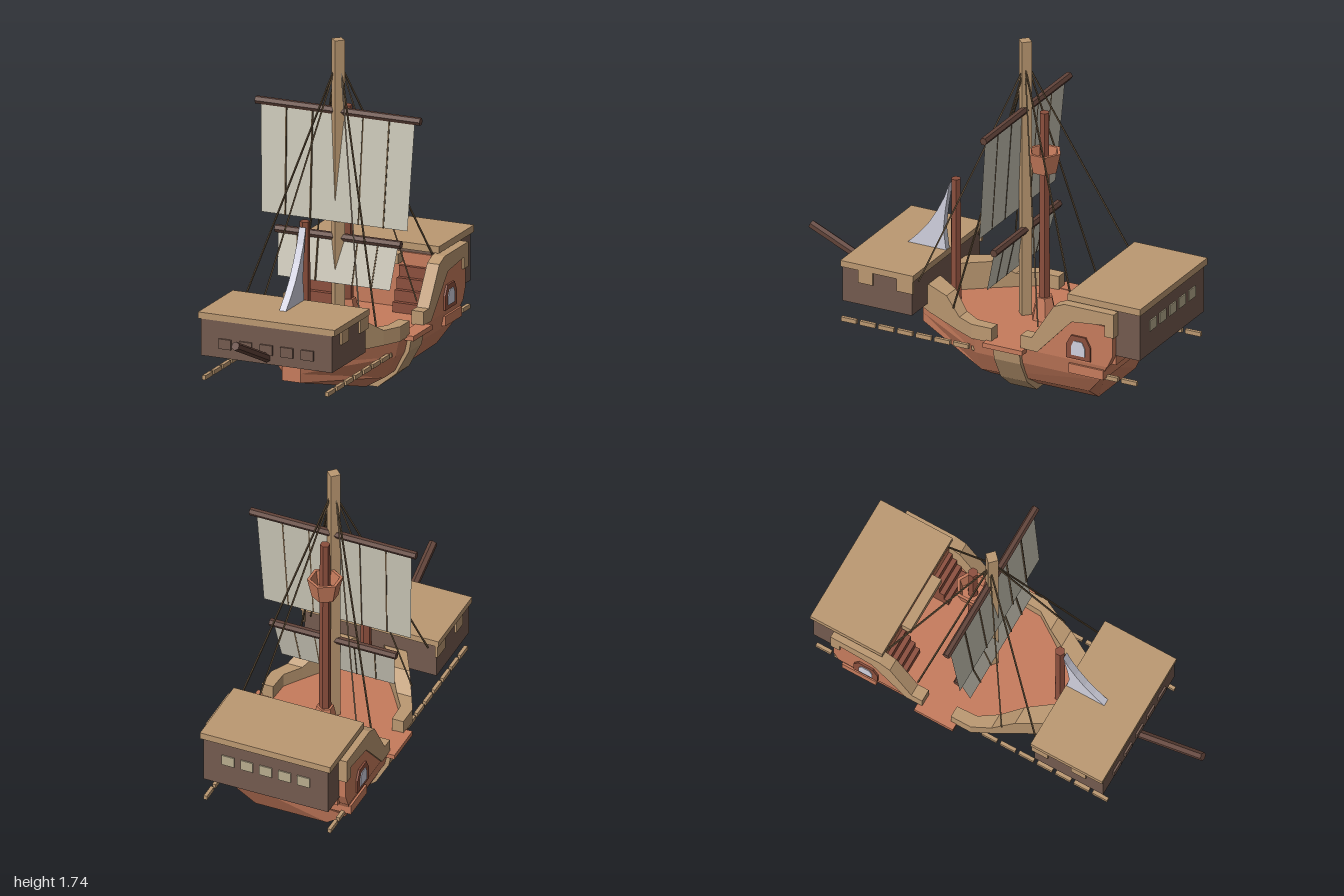
import * as THREE from 'three';

const mat = (name, color) => new THREE.MeshStandardMaterial({ name, color, flatShading: true });

export function createModel() {
  const ship = new THREE.Group();
  ship.name = 'sailingShip';
  const M = {
    hull: mat('salmon wood', 0xc67b5c),
    red: mat('red brown wood', 0x8c4f3d),
    tan: mat('tan wood', 0xbb9871),
    cabin: mat('cabin brown', 0x735a4e),
    dark: mat('dark spar wood', 0x614339),
    sail: mat('canvas', 0xcbc7b8),
    rope: mat('rope', 0x65523b),
    pale: mat('pale cloth and glass', 0xd0d0de),
    pane: mat('stern pane', 0xb8ac8e),
  };
  M.sail.side = THREE.DoubleSide;

  const add = (name, geo, m) => {
    const mesh = new THREE.Mesh(geo, m);
    mesh.name = name;
    ship.add(mesh);
    return mesh;
  };
  // box from minimum and maximum on each axis
  const box = (name, m, x0, x1, y0, y1, z0, z1) =>
    add(name, new THREE.BoxGeometry(x1 - x0, y1 - y0, z1 - z0), m)
      .position.set((x0 + x1) / 2, (y0 + y1) / 2, (z0 + z1) / 2);
  // [z, y] outline extruded across x
  const sideExtrude = (name, m, pts, x0, x1) => {
    const shape = new THREE.Shape(pts.map(p => new THREE.Vector2(...p)));
    const g = new THREE.ExtrudeGeometry(shape, { depth: x1 - x0, bevelEnabled: false });
    add(name, g.rotateY(-Math.PI / 2).translate(x1, 0, 0), m);
  };
  // same, on both sides of the ship
  const sidePair = (name, m, pts, x0, x1) => {
    sideExtrude(name + 'Left', m, pts, x0, x1);
    sideExtrude(name + 'Right', m, pts, -x1, -x0);
  };
  // closed skin through sections, listed front to back, clockwise seen from the front
  const loft = sections => {
    const n = sections[0].length, idx = [], last = (sections.length - 1) * n;
    for (let i = 0; i < sections.length - 1; i++)
      for (let j = 0; j < n; j++) {
        const a = i * n + j, b = i * n + (j + 1) % n;
        idx.push(a, b, a + n, b, b + n, a + n);
      }
    for (let j = 1; j < n - 1; j++) idx.push(0, j + 1, j, last, last + j, last + j + 1);
    const g = new THREE.BufferGeometry();
    g.setAttribute('position', new THREE.Float32BufferAttribute(sections.flat(2), 3));
    g.setIndex(idx);
    g.computeVertexNormals();
    return g;
  };
  const mirrorX = pts => pts.map(([x, y, z]) => [-x, y, z]).reverse();
  // straight round bar between two points
  const bar = (name, m, a, b, r, sides = 6) => {
    const p = new THREE.Vector3(...a), q = new THREE.Vector3(...b), d = q.clone().sub(p);
    const mesh = add(name, new THREE.CylinderGeometry(r, r, d.length(), sides), m);
    mesh.position.copy(p).add(q).multiplyScalar(0.5);
    mesh.quaternion.setFromUnitVectors(new THREE.Vector3(0, 1, 0), d.normalize());
  };

  // hull with deck
  const halves = [
    [[0.05, 0.29, 0.35], [0.05, 0.25, 0.35], [0.05, 0.2, 0.35], [0.05, 0.155, 0.35]],
    [[0.365, 0.29, -0.1], [0.345, 0.2, -0.1], [0.29, 0.09, -0.1], [0.19, 0.03, -0.1]],
    [[0.365, 0.29, -0.83], [0.345, 0.2, -0.78], [0.29, 0.1, -0.69], [0.19, 0.03, -0.69]],
  ];
  add('hull', loft(halves.map(h => [...h, ...mirrorX(h)])), M.hull);

  // band round the hull
  const band = [[0.38, 0.27], [0.367, 0.2], [0.3, 0.08], [0.2, 0]];
  const bandShape = new THREE.Shape(
    [...band, ...band.map(([x, y]) => [-x, y]).reverse()].map(p => new THREE.Vector2(...p)));
  add('hullBand', new THREE.ExtrudeGeometry(bandShape, { depth: 0.145, bevelEnabled: false })
    .translate(0, 0, -0.355), M.tan);

  // bow rails: outer x, inner x, z, top y
  const bowRail = [
    [0.1, 0.0, 0.38, 0.36], [0.2, 0.08, 0.235, 0.43], [0.275, 0.18, 0.1, 0.43],
    [0.33, 0.25, 0, 0.36], [0.375, 0.31, -0.09, 0.36], [0.375, 0.315, -0.2, 0.36],
  ].map(([o, i, z, t]) => [[o, t, z], [o, 0.285, z], [i, 0.285, z], [i, t, z]]);
  add('bowRailLeft', loft(bowRail), M.tan);
  add('bowRailRight', loft(bowRail.map(mirrorX)), M.tan);

  // stern sides, bulkhead, rails and ledges
  sidePair('sternSide', M.hull, [[-0.44, 0.285], [-0.6, 0.46], [-0.64, 0.5], [-0.86, 0.5],
    [-0.86, 0.35], [-0.83, 0.285]], 0.315, 0.365);
  box('sternBulkhead', M.hull, -0.32, 0.32, 0.285, 0.57, -0.855, -0.6);
  sidePair('sternRail', M.tan, [[-0.36, 0.29], [-0.36, 0.36], [-0.42, 0.36], [-0.54, 0.55],
    [-0.6, 0.575], [-0.87, 0.575], [-0.87, 0.45], [-0.82, 0.45], [-0.82, 0.51], [-0.64, 0.49],
    [-0.6, 0.45], [-0.45, 0.29]], 0.31, 0.375);
  box('sternLedge', M.hull, -0.37, 0.37, 0.215, 0.265, -0.81, -0.62);
  for (const s of [-1, 1])
    box('sideLedge', M.hull, s > 0 ? 0.33 : -0.41, s > 0 ? 0.41 : -0.33, 0.268, 0.293, -0.385, -0.17);

  // arched side windows
  const arch = (w, y0, h) => [[-w, y0], [w, y0], [w, y0 + h * 0.6], [w * 0.6, y0 + h], [-w * 0.6, y0 + h],
    [-w, y0 + h * 0.6]].map(([z, y]) => [z - 0.675, y]);
  sidePair('windowFrame', M.red, arch(0.066, 0.297, 0.122), 0.35, 0.375);
  sidePair('windowPane', M.pale, arch(0.037, 0.318, 0.075), 0.37, 0.379);

  // stern cabin
  box('sternCabin', M.cabin, -0.33, 0.33, 0.34, 0.59, -0.99, -0.85);
  box('sternCabinUpper', M.cabin, -0.31, 0.31, 0.5, 0.59, -0.86, -0.61);
  box('sternRoof', M.tan, -0.345, 0.345, 0.585, 0.62, -1, -0.6);

  // bow cabin
  box('bowCabin', M.cabin, -0.35, 0.35, 0.322, 0.515, 0.25, 0.632);
  box('bowRoof', M.tan, -0.365, 0.365, 0.508, 0.54, 0.237, 0.635);
  sidePair('bowRoofTrim', M.tan, [[0.24, 0.44], [0.24, 0.51], [0.54, 0.51], [0.54, 0.44], [0.46, 0.44],
    [0.46, 0.505], [0.33, 0.505], [0.33, 0.44]], 0.345, 0.36);

  // rows of windows on the cabin ends
  for (let i = -2; i <= 2; i++) {
    box('bowWindow', M.cabin, i * 0.11 - 0.033, i * 0.11 + 0.033, 0.37, 0.42, 0.63, 0.642);
    box('sternWindow', M.pane, i * 0.1 - 0.033, i * 0.1 + 0.033, 0.46, 0.515, -0.996, -0.988);
  }

  // stairs and door canopy
  for (const s of [-1, 1])
    for (let i = 0; i < 4; i++)
      box('stair', M.red, s * 0.225 - 0.085, s * 0.225 + 0.085, 0.285, 0.34 + i * 0.055, -0.61, -0.505 - i * 0.025);
  box('doorCanopy', M.tan, -0.15, 0.15, 0.52, 0.57, -0.61, -0.55);

  // bowsprit
  bar('bowsprit', M.dark, [0, 0.34, 0.6], [0, 0.512, 0.99], 0.022);

  // main mast: square, set corner forward
  add('mainMast', new THREE.CylinderGeometry(0.036, 0.036, 1.455, 4), M.tan).position.set(0, 1.0125, -0.185);

  // yards with tilted sails and their seams: half length, yard y, half widths, foot y, foot z
  for (const [name, len, y, w0, w1, foot, footZ] of [
    ['main', 0.44, 1.377, 0.41, 0.39, 0.83, -0.142], ['lower', 0.335, 0.74, 0.32, 0.3, 0.52, -0.135]]) {
    bar(name + 'Yard', M.dark, [-len, y, -0.19], [len, y, -0.19], 0.02);
    const g = new THREE.PlaneGeometry(2, 1), p = g.attributes.position, top = y - 0.01;
    for (let i = 0; i < p.count; i++) {
      const up = p.getY(i) > 0;
      p.setXYZ(i, p.getX(i) * (up ? w0 : w1), up ? top : foot, up ? -0.184 : footZ);
    }
    add(name + 'Sail', g, M.sail);
    for (const k of [-0.67, -0.33, 0.33, 0.67])
      bar(name + 'SailSeam', M.rope, [k * w0, top, -0.182], [k * w1, foot, footZ + 0.002], 0.005, 4);
  }

  // rear mast with foot and lookout
  add('rearMast', new THREE.CylinderGeometry(0.025, 0.031, 1.095, 6), M.red).position.set(0, 0.8325, -0.29);
  add('rearMastFoot', new THREE.CylinderGeometry(0.042, 0.068, 0.12, 6), M.hull).position.set(0, 0.345, -0.29);
  const nest = [[0, 1.07], [0.065, 1.07], [0.088, 1.175], [0.072, 1.175], [0.058, 1.1], [0, 1.1]];
  add('lookout', new THREE.LatheGeometry(nest.map(p => new THREE.Vector2(...p)), 6), M.hull)
    .position.z = -0.29;

  // fore mast and its sail
  add('foreMast', new THREE.CylinderGeometry(0.025, 0.029, 0.64, 6), M.red).position.set(0, 0.605, 0.195);
  sideExtrude('foreSail', M.pale, [[0.222, 0.9], [0.25, 0.82], [0.29, 0.74], [0.34, 0.66], [0.39, 0.6],
    [0.455, 0.535], [0.24, 0.535], [0.255, 0.65], [0.245, 0.75]], -0.018, 0.018);

  // rigging and side rods
  for (const s of [-1, 1]) {
    for (const [y, z] of [[0.49, 0.235], [0.39, 0.045], [0.39, -0.42], [0.57, -0.605]])
      bar('shroud', M.rope, [s * 0.012, 1.61, -0.19], [s * 0.31, y, z], 0.005, 4);
    for (let i = 0; i < 16; i++) {
      const z = 0.605 - i * 0.1025;
      box('sideRod', M.tan, s * 0.328 - 0.009, s * 0.328 + 0.009, 0.204, 0.226, z - 0.042, z + 0.042);
    }
  }
  return ship;
}
